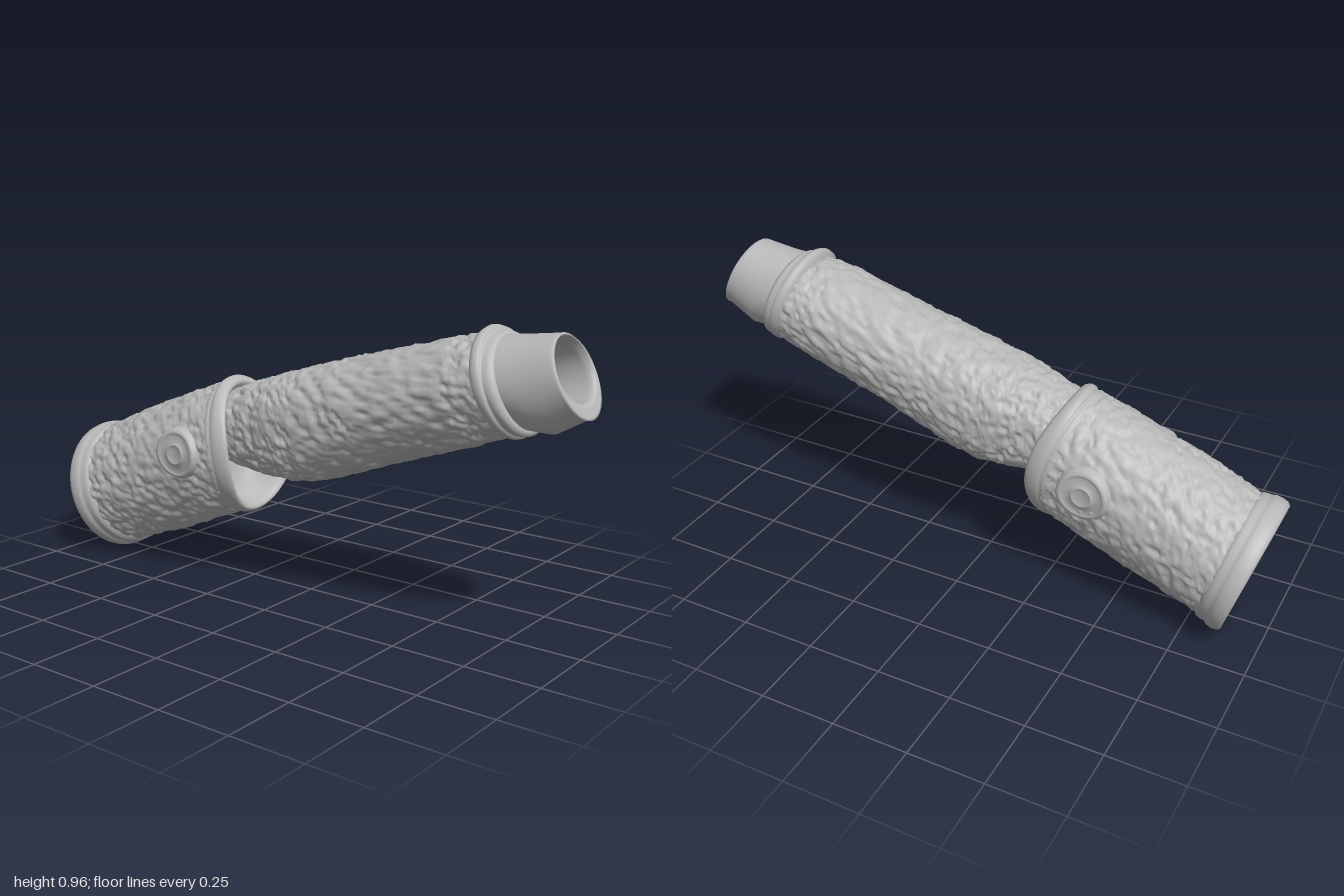
import * as THREE from 'three';

// Smooth seeded 3D value noise in the range -1..1
function hash(x, y, z) {
  let h = Math.imul(x, 374761393) ^ Math.imul(y, 668265263) ^ Math.imul(z, 1274126177);
  h = Math.imul(h ^ (h >>> 13), 1103515245);
  return ((h ^ (h >>> 16)) >>> 0) / 2147483648 - 1;
}
function noise(x, y, z) {
  const i = Math.floor(x), j = Math.floor(y), k = Math.floor(z);
  const s = (t) => t * t * (3 - 2 * t);
  const u = s(x - i), v = s(y - j), w = s(z - k);
  let sum = 0;
  for (let a = 0; a < 2; a++) for (let b = 0; b < 2; b++) for (let c = 0; c < 2; c++) {
    sum += hash(i + a, j + b, k + c) * (a ? u : 1 - u) * (b ? v : 1 - v) * (c ? w : 1 - w);
  }
  return sum;
}
// Bark-like grain: mostly even with sharper pits
function grain(p) {
  const n = noise(p.x * 52, p.y * 60, p.z * 46) + 0.4 * noise(p.x * 110, p.y * 110, p.z * 110);
  return n < -0.25 ? n * 1.3 : n * 0.7;
}

// Loft through slanted oval rings: [topZ, topY, bottomZ, bottomY, halfWidth, forwardBow, squareness]
function loft(stations, { seg = 72, steps = 1, rough = 0, dir = null } = {}) {
  const rings = [];
  for (let i = 0; i < stations.length - 1; i++) {
    for (let s = 0; s < steps; s++) {
      const at = (k) => THREE.MathUtils.lerp(stations[i][k] ?? 0, stations[i + 1][k] ?? 0, s / steps);
      rings.push([0, 1, 2, 3, 4, 5, 6].map(at));
    }
  }
  rings.push(stations[stations.length - 1]);
  const pos = [], idx = [], p = new THREE.Vector3(), d = new THREE.Vector3();
  rings.forEach(([tz, ty, bz, by, rx, bow = 0, sq = 0], i) => {
    const cz = (tz + bz) / 2, cy = (ty + by) / 2, pw = 1 / (1 + sq);
    for (let j = 0; j < seg; j++) {
      const a = (j / seg) * Math.PI * 2;
      const c = Math.sign(Math.cos(a)) * Math.abs(Math.cos(a)) ** pw;
      const s = Math.sign(Math.sin(a)) * Math.abs(Math.sin(a)) ** pw;
      p.set(c * rx, cy + s * (ty - by) / 2, cz + s * (tz - bz) / 2 + bow * c * c);
      if (rough) {
        if (dir) d.copy(dir); else d.set(p.x, p.y - cy, p.z - cz).normalize();
        p.addScaledVector(d, rough * grain(p));
      }
      pos.push(p.x, p.y, p.z);
      if (i < rings.length - 1) {
        const q = i * seg + j, r = i * seg + (j + 1) % seg;
        idx.push(q, q + seg, r, r, q + seg, r + seg);
      }
    }
  });
  const g = new THREE.BufferGeometry();
  g.setAttribute('position', new THREE.Float32BufferAttribute(pos, 3));
  g.setIndex(idx);
  g.computeVertexNormals();
  return g;
}

export function createModel() {
  const model = new THREE.Group();
  const grey = new THREE.MeshStandardMaterial({ color: 0xb8b8b8 });
  grey.name = 'stone grey';
  const add = (name, geometry, parent = model) => {
    const m = new THREE.Mesh(geometry, grey);
    m.name = name;
    parent.add(m);
    return m;
  };

  // Hollow mouthpiece: bore, slanted lip, outer wall
  add('mouthpiece', loft([
    [0.40, 0.755, 0.43, 0.61, 0],
    [0.38, 0.77, 0.45, 0.58, 0.09],
    [0.87, 0.94, 0.95, 0.76, 0.1],
    [0.888, 0.95, 0.978, 0.765, 0.106],
    [0.896, 0.957, 0.992, 0.735, 0.114],
    [0.888, 0.961, 0.998, 0.722, 0.12],
    [0.87, 0.958, 0.985, 0.722, 0.122],
    [0.78, 0.947, 0.89, 0.668, 0.132],
    [0.70, 0.94, 0.81, 0.67, 0.14],
    [0.64, 0.92, 0.76, 0.66, 0.14],
  ], { steps: 2 }));

  // Double collar behind the mouthpiece
  add('collar', loft([
    [0.72, 0.93, 0.81, 0.69, 0.13],
    [0.725, 0.942, 0.82, 0.668, 0.148],
    [0.712, 0.95, 0.815, 0.652, 0.16],
    [0.695, 0.95, 0.802, 0.648, 0.164],
    [0.686, 0.952, 0.79, 0.65, 0.163],
    [0.68, 0.962, 0.785, 0.64, 0.171],
    [0.665, 0.965, 0.772, 0.637, 0.173],
    [0.652, 0.957, 0.757, 0.641, 0.17],
    [0.645, 0.93, 0.745, 0.655, 0.155],
  ], { steps: 2 }));

  // Grained barrel, narrowing where it enters the rear chamber
  add('barrel', loft([
    [0.665, 0.94, 0.765, 0.648, 0.165],
    [0.55, 0.92, 0.65, 0.603, 0.171],
    [0.2, 0.825, 0.32, 0.49, 0.175],
    [0, 0.768, 0.09, 0.405, 0.174, 0, 0.12],
    [-0.1, 0.738, 0.0, 0.388, 0.168, 0, 0.2],
    [-0.18, 0.71, -0.09, 0.388, 0.157, 0, 0.2],
    [-0.26, 0.68, -0.18, 0.392, 0.148, 0, 0.15],
    [-0.36, 0.64, -0.3, 0.41, 0.145],
  ], { seg: 140, steps: 20, rough: 0.0075 }));

  // Chamber mouth: recessed floor, funnel and rounded rim
  add('chamberMouth', loft([
    [-0.37, 0.46, -0.37, 0.46, 0],
    [-0.39, 0.63, -0.34, 0.3, 0.12],
    [-0.32, 0.65, -0.27, 0.268, 0.14, 0.03],
    [-0.305, 0.67, -0.24, 0.262, 0.162, 0.05],
    [-0.3, 0.685, -0.232, 0.25, 0.174, 0.055],
    [-0.312, 0.697, -0.24, 0.24, 0.183, 0.055],
    [-0.333, 0.703, -0.255, 0.234, 0.19, 0.05],
    [-0.347, 0.697, -0.268, 0.234, 0.192, 0.045],
    [-0.352, 0.684, -0.276, 0.24, 0.19, 0.042],
    [-0.362, 0.684, -0.288, 0.236, 0.195, 0.04],
    [-0.38, 0.665, -0.31, 0.24, 0.188, 0.03],
  ], { steps: 2 }));

  // Grained rear chamber
  add('chamber', loft([
    [-0.355, 0.682, -0.28, 0.238, 0.192, 0.04],
    [-0.45, 0.648, -0.36, 0.205, 0.202, 0.01],
    [-0.65, 0.572, -0.53, 0.132, 0.206],
    [-0.8, 0.508, -0.68, 0.078, 0.209],
    [-0.93, 0.445, -0.8, 0.035, 0.212],
  ], { seg: 150, steps: 20, rough: 0.0075 }));

  // Rounded end flange
  add('endFlange', loft([
    [-0.895, 0.45, -0.77, 0.055, 0.2],
    [-0.91, 0.459, -0.783, 0.03, 0.217],
    [-0.925, 0.458, -0.797, 0.023, 0.221],
    [-0.938, 0.456, -0.81, 0.022, 0.222],
    [-0.95, 0.458, -0.82, 0.01, 0.229],
    [-0.97, 0.453, -0.838, 0.003, 0.231],
    [-0.988, 0.444, -0.853, 0.002, 0.229],
    [-0.997, 0.432, -0.864, 0.008, 0.221],
    [-0.992, 0.415, -0.869, 0.025, 0.205],
    [-0.982, 0.393, -0.873, 0.045, 0.187],
  ], { steps: 2 }));

  // Pitted end cap
  add('endCap', loft([
    [-0.983, 0.396, -0.872, 0.042, 0.189],
    [-0.976, 0.375, -0.876, 0.063, 0.17],
    [-0.928, 0.219, -0.928, 0.219, 0],
  ], { seg: 90, steps: 14, rough: 0.005, dir: new THREE.Vector3(0, -0.29, -0.957) }));

  // Round medallions on both flanks, curved to follow the chamber
  const profile = [[0, 0.008], [0.025, 0.008], [0.03, 0.013], [0.036, 0.013], [0.041, 0.007], [0.064, 0.006],
    [0.07, 0.012], [0.078, 0.014], [0.086, 0.009], [0.092, -0.012]];
  for (const side of [1, -1]) {
    const g = new THREE.LatheGeometry(profile.map(([r, h]) => new THREE.Vector2(r, h)).reverse(), 48);
    g.rotateZ(-side * Math.PI / 2);
    const v = g.attributes.position;
    for (let i = 0; i < v.count; i++) v.setX(i, v.getX(i) - side * v.getY(i) ** 2 * 2);
    g.computeVertexNormals();
    const m = add(side > 0 ? 'leftMedallion' : 'rightMedallion', g);
    m.position.set(side * 0.203, 0.45, -0.42);
  }
  return model;
}
